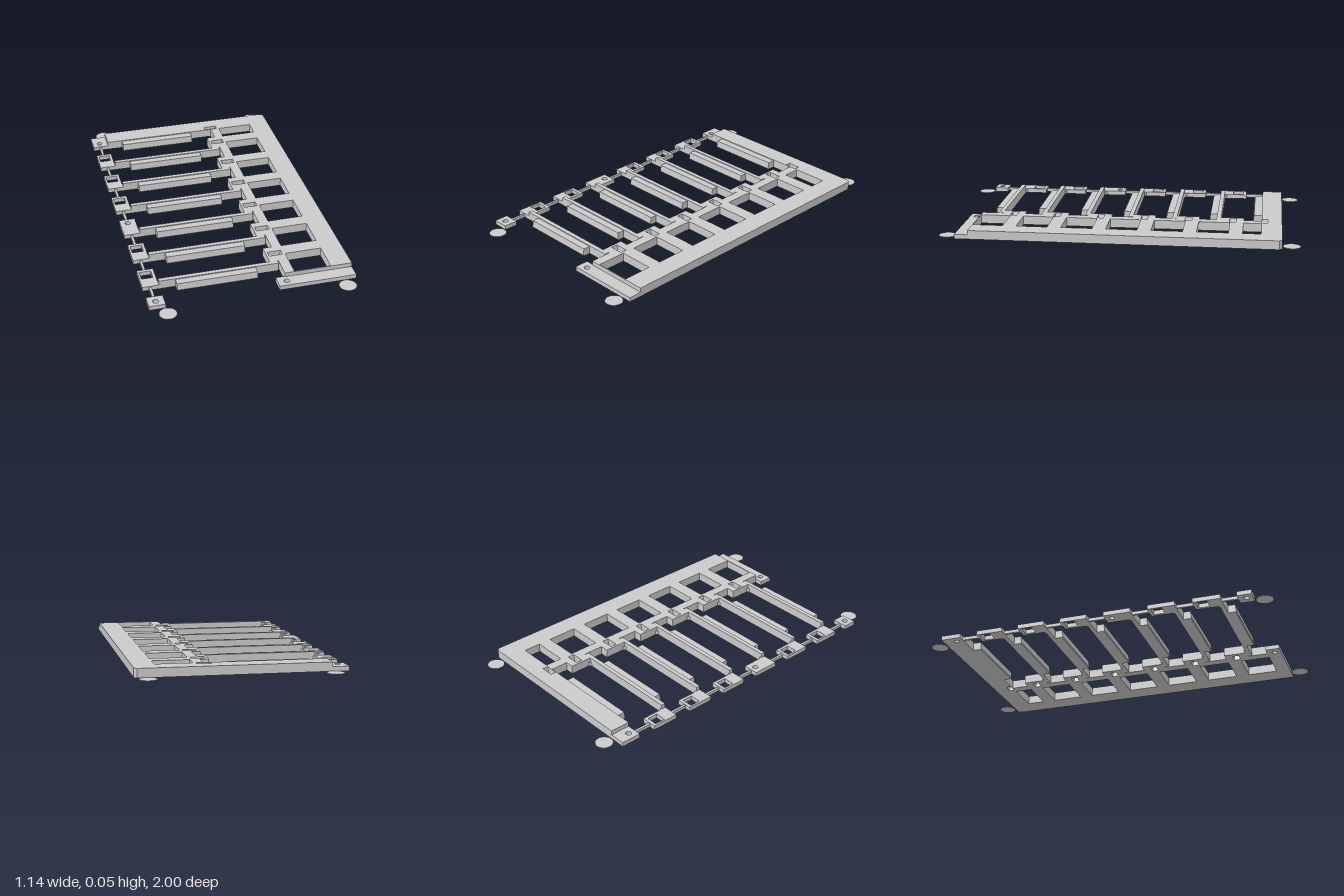
import * as THREE from 'three';

const H = 0.05, LOW = 0.025, PITCH = 0.2517;
const FIRST = -0.554; // back edge of the first slat
const BAR = -0.785; // front edge of the back bar
const grey = new THREE.MeshStandardMaterial({ color: 0xcacaca });
grey.name = 'grey plastic';

const rect = (x0, x1, z0, z1) => [[x0, z0], [x1, z0], [x1, z1], [x0, z1]];
const circle = (x, z, r) => Array.from({ length: 24 }, (_, i) => {
  const a = (i / 24) * Math.PI * 2;
  return [x + r * Math.cos(a), z + r * Math.sin(a)];
});
const toPoints = (pts) => pts.map(([x, z]) => new THREE.Vector2(x, -z));
// same points, ordered by winding direction
const wind = (pts, clockwise) =>
  (THREE.ShapeUtils.isClockWise(pts) === clockwise ? pts : pts.reverse());

export function createModel() {
  const model = new THREE.Group();
  model.name = 'ladderFrame';

  const add = (name, geometry) => {
    const mesh = new THREE.Mesh(geometry, grey);
    mesh.name = name;
    model.add(mesh);
    return mesh;
  };
  const extrude = (shape, depth) =>
    new THREE.ExtrudeGeometry(shape, { depth, bevelEnabled: false });

  // flat plate from an outline in x, z, standing on y = 0
  const slab = (name, outline, height, holes = []) => {
    const shape = new THREE.Shape(wind(toPoints(outline), false));
    holes.forEach((h) => shape.holes.push(new THREE.Path(wind(toPoints(h), true))));
    add(name, extrude(shape, height).rotateX(-Math.PI / 2));
  };
  // bar with an x, y section running along z
  const alongZ = (name, section, z0, z1) => {
    const shape = new THREE.Shape(section.map(([x, y]) => new THREE.Vector2(x, y)));
    add(name, extrude(shape, z1 - z0).translate(0, 0, z0));
  };

  // main frame: back bar, outer bar, inner rail with latch blocks, rungs
  const outline = [[-0.48, -0.9], [0.555, -0.9], [0.57, -0.885], [0.57, 0.825], [0.19, 0.825]];
  for (let k = 5; k >= 0; k--) {
    const z = FIRST + PITCH * k;
    outline.push([0.19, z], [0.14, z], [0.14, z - 0.13], [0.19, z - 0.13]);
  }
  outline.push([0.19, BAR], [-0.48, BAR]);
  const holes = [];
  const slots = [[-0.82, -0.788]];
  for (let k = 0; k < 7; k++) {
    const start = k === 0 ? BAR : FIRST - 0.053 + PITCH * (k - 1);
    const end = k === 6 ? 0.82 : FIRST - 0.13 + PITCH * k;
    holes.push(rect(0.245, 0.45, start, end));
    if (k < 6) slots.push([FIRST - 0.088 + PITCH * k, FIRST - 0.05 + PITCH * k]);
  }
  slots.forEach(([a, b]) => holes.push(rect(0.154, 0.23, a, b)));
  slab('mainFrame', outline, H, holes);

  // sloping cheeks inside the latch slots
  slots.forEach(([a, b]) => {
    alongZ('slotCheek', [[0.154, 0], [0.166, 0], [0.154, H]], a, b);
    alongZ('slotCheek', [[0.23, 0], [0.23, H], [0.219, 0]], a, b);
  });

  // low tabs with screw holes
  slab('frontBar', rect(0.14, 0.57, 0.82, 0.9), LOW, [circle(0.19, 0.863, 0.016)]);
  slab('backTab', rect(-0.57, -0.48, -0.9, BAR), LOW, [circle(-0.527, -0.825, 0.016)]);
  slab('frontTab', rect(-0.57, -0.48, 0.82, 0.9), LOW, [circle(-0.527, 0.863, 0.016)]);

  // lip in front of each slat, its face leaning outward to a small undercut
  const lip = (z0, z1) => {
    const shape = new THREE.Shape(
      [[z0, 0], [z1 - 0.004, 0], [z1, 0.006], [z1 - 0.005, 0.045], [z0, 0.045]]
        .map(([z, y]) => new THREE.Vector2(-z, y)));
    add('slatLip', extrude(shape, 0.445).rotateY(Math.PI / 2).translate(-0.39, 0, 0));
  };
  lip(BAR, -0.735);

  // slats and their left-hand link plates
  for (let k = 0; k < 6; k++) {
    const z = FIRST + PITCH * k;
    slab('slat', rect(-0.48, 0.185, z, z + 0.025), H);
    slab('slatEnd', rect(-0.57, -0.48, z, z + 0.025), LOW);
    lip(z + 0.025, z + 0.07);
    const hole = k === 3 ? circle(-0.527, 0.108, 0.016)
      : rect(-0.559, -0.496, z - 0.111, z - 0.05);
    slab('linkPlate', rect(-0.57, -0.48, z - 0.13, z), LOW, [hole]);
    // small gussets at the slat corners
    slab('gusset', [[-0.48, z - 0.012], [-0.468, z], [-0.48, z]], LOW);
    slab('gusset', [[0.14, z - 0.012], [0.14, z], [0.128, z]], LOW);
  }

  // thin rod joining the link plates
  for (let k = 0; k < 7; k++) {
    const start = k === 0 ? BAR : FIRST + 0.025 + PITCH * (k - 1);
    const end = k === 6 ? 0.82 : FIRST - 0.13 + PITCH * k;
    slab('linkRod', rect(-0.534, -0.52, start, end), 0.018);
  }

  // thin round pads at the corners
  for (const x of [-0.48, 0.505]) {
    for (const z of [-0.952, 0.952]) {
      const pad = add('cornerPad', new THREE.CylinderGeometry(0.048, 0.048, 0.003, 32));
      pad.position.set(x, 0.0015, z);
    }
  }
  return model;
}
